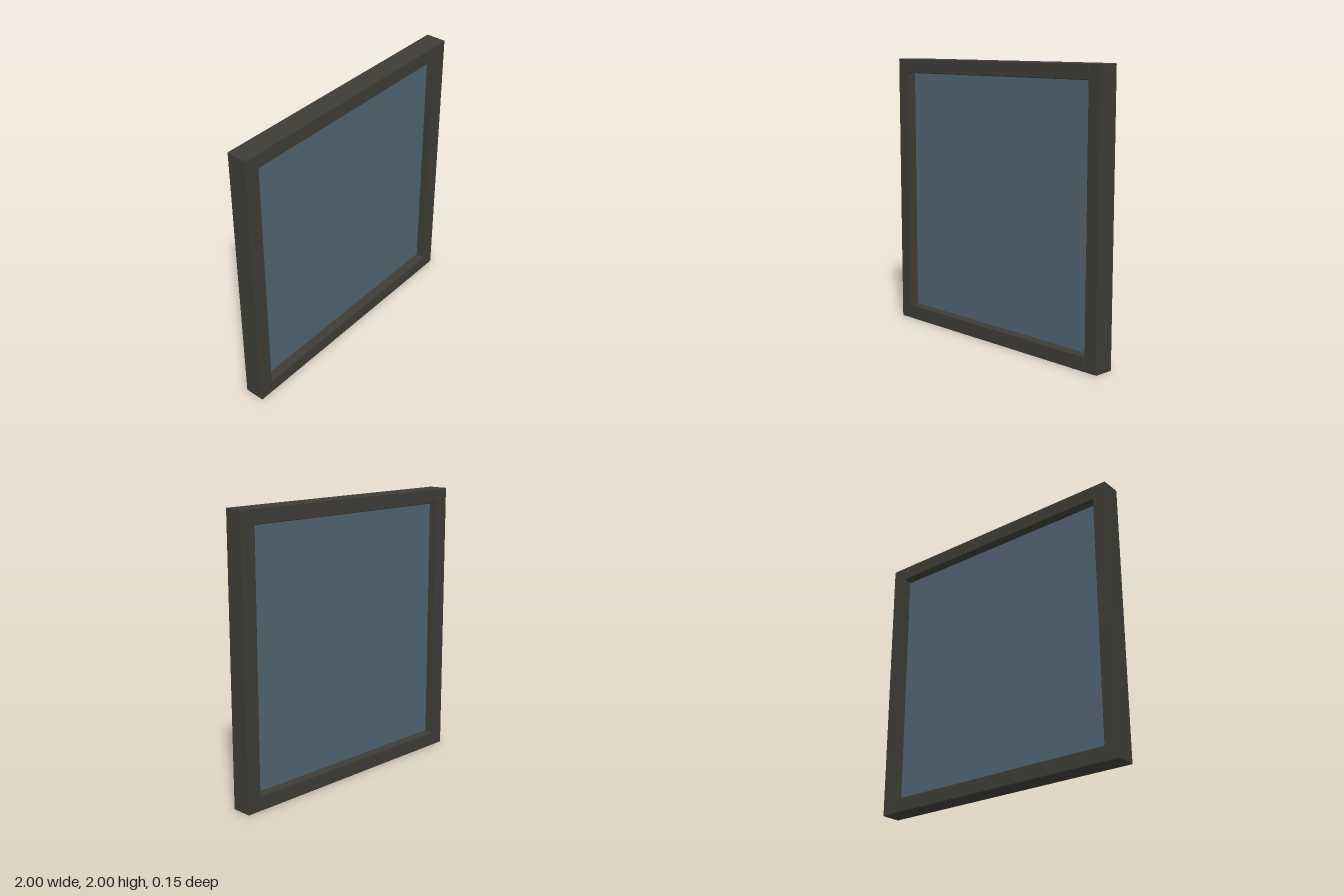
import * as THREE from 'three';
import { RoundedBoxGeometry } from 'three/addons/geometries/RoundedBoxGeometry.js';

export function createModel() {
  const model = new THREE.Group();
  model.name = 'framedWindow';

  const frame = new THREE.MeshStandardMaterial({ color: 0x3d3c36 });
  frame.name = 'darkFrame';
  const glass = new THREE.MeshStandardMaterial({ color: 0x506472 });
  glass.name = 'blueGreyGlass';

  const bar = 0.105, depth = 0.15, bevel = 0.006;
  const opening = 2 - 2 * bar;

  function addBar(name, width, height, x, y) {
    const mesh = new THREE.Mesh(new RoundedBoxGeometry(width, height, depth, 2, bevel), frame);
    mesh.name = name;
    mesh.position.set(x, y, 0);
    model.add(mesh);
  }

  // Full-height side stiles
  addBar('leftStile', bar, 2, 1 - bar / 2, 1);
  addBar('rightStile', bar, 2, -1 + bar / 2, 1);

  // Rails fitted between the stiles
  addBar('topRail', opening, bar, 0, 2 - bar / 2);
  addBar('bottomRail', opening, bar, 0, bar / 2);

  // Thin pane in the middle of the frame, let slightly into the bars
  const pane = new THREE.Mesh(new THREE.BoxGeometry(opening + 0.01, opening + 0.01, 0.012), glass);
  pane.name = 'glassPane';
  pane.position.y = 1;
  model.add(pane);

  return model;
}
